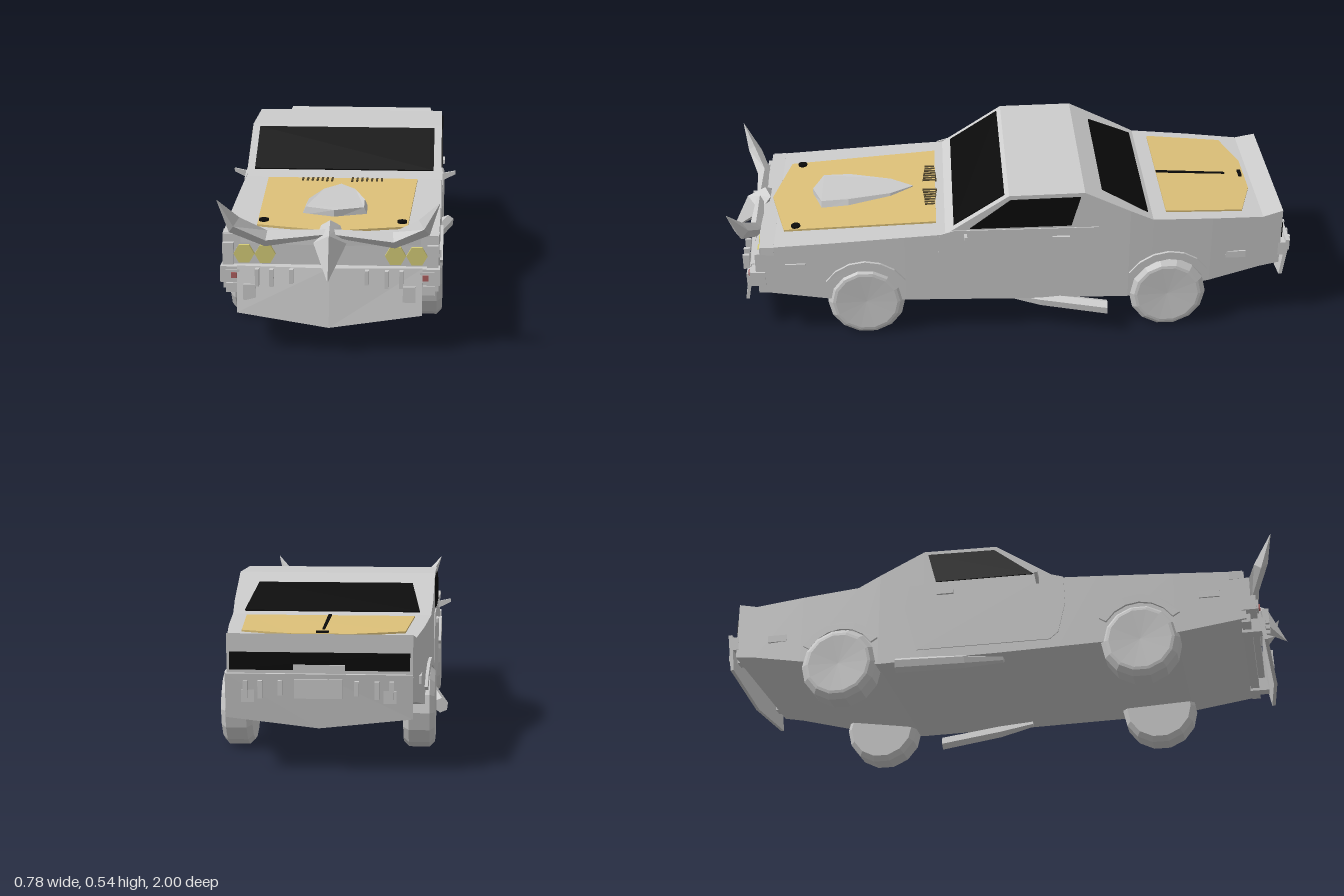
import * as THREE from 'three';
import { ConvexGeometry } from 'three/addons/geometries/ConvexGeometry.js';

const GREY = 0xcccccc, GOLD = 0xdcc078, BLACK = 0x0a0a0a, LAMP = 0xd6ce78, RED = 0xb06060;

// Body stations from nose to tail: z, underside y, top y, half width
const STATIONS = [
  [0.87, 0.185, 0.362, 0.34], [0.63, 0.15, 0.376, 0.343], [0.37, 0.138, 0.392, 0.343],
  [0.23, 0.135, 0.4, 0.342], [0.01, 0.13, 0.545, 0.341], [-0.25, 0.128, 0.55, 0.34],
  [-0.41, 0.125, 0.472, 0.338], [-0.49, 0.138, 0.433, 0.333], [-0.7, 0.17, 0.422, 0.317],
  [-0.88, 0.21, 0.412, 0.297], [-0.95, 0.22, 0.43, 0.289],
];
function station(z, k) {
  const n = STATIONS.length;
  let i = 0;
  while (i < n - 2 && z < STATIONS[i + 1][0]) i++;
  const a = STATIONS[i], b = STATIONS[i + 1];
  return THREE.MathUtils.lerp(a[k], b[k], (z - a[0]) / (b[0] - a[0]));
}
const topY = (z) => station(z, 2), halfW = (z) => station(z, 3);

export function createModel() {
  const car = new THREE.Group();
  car.name = 'car';

  const add = (name, geometry, color = GREY) => {
    const mesh = new THREE.Mesh(geometry, new THREE.MeshStandardMaterial({ color, flatShading: true }));
    mesh.name = name;
    car.add(mesh);
    return mesh;
  };
  const box = (name, w, h, d, x, y, z, color) => {
    const m = add(name, new THREE.BoxGeometry(w, h, d), color);
    m.position.set(x, y, z);
    return m;
  };

  // Makes a closed triangle soup face outward
  const outward = (geometry) => {
    const g = geometry.index ? geometry.toNonIndexed() : geometry;
    const p = g.attributes.position;
    const [a, b, c] = [0, 1, 2].map(() => new THREE.Vector3());
    const ref = new THREE.Vector3().fromBufferAttribute(p, 0);
    let volume = 0;
    for (let i = 0; i < p.count; i += 3) {
      [a, b, c].forEach((v, k) => v.fromBufferAttribute(p, i + k).sub(ref));
      volume += a.dot(b.cross(c));
    }
    if (volume < 0) for (let i = 0; i < p.count; i += 3) {
      b.fromBufferAttribute(p, i + 1);
      c.fromBufferAttribute(p, i + 2);
      p.setXYZ(i + 1, c.x, c.y, c.z);
      p.setXYZ(i + 2, b.x, b.y, b.z);
    }
    g.computeVertexNormals();
    return g;
  };

  // Solid through cross-sections (rings of equal length), capped at both ends
  const loft = (rings) => {
    const n = rings[0].length, index = [];
    for (let r = 0; r < rings.length - 1; r++) for (let i = 0; i < n; i++) {
      const a = r * n + i, b = r * n + (i + 1) % n;
      index.push(a, b, b + n, a, b + n, a + n);
    }
    const e = (rings.length - 1) * n;
    for (let i = 1; i < n - 1; i++) index.push(0, i + 1, i, e, e + i, e + i + 1);
    const g = new THREE.BufferGeometry();
    g.setAttribute('position', new THREE.Float32BufferAttribute(rings.flat(2), 3));
    g.setIndex(index);
    return outward(g);
  };

  // Thin plate: outline extruded by depth, then laid on a surface by the rule
  const plate = (name, pts, depth, rule, color) => {
    const shape = new THREE.Shape(pts.map(([a, b]) => new THREE.Vector2(a, b)));
    const g = new THREE.ExtrudeGeometry(shape, { depth, bevelEnabled: false });
    const p = g.attributes.position;
    for (let i = 0; i < p.count; i++) p.setXYZ(i, ...rule(p.getX(i), p.getY(i), p.getZ(i)));
    return add(name, outward(g), color);
  };
  const onTop = (lift = 0) => (x, z, d) => [x, topY(z) + d + lift, z];
  const onSide = (s) => (z, y, d) => [s * (halfW(z) + d - 0.002), y, z];
  const mirrored = (half) => [...half, ...half.filter(([x]) => x !== 0).reverse().map(([x, z]) => [-x, z])];

  // Body shell
  add('body', loft(STATIONS.map(([z, y0, y1, w]) => [[-w, y0, z], [w, y0, z], [w, y1, z], [-w, y1, z]])));

  // Windscreen and rear window
  plate('windscreen', [[-0.315, 0.2], [0.315, 0.2], [0.315, 0.025], [-0.315, 0.025]], 0.004, onTop(), BLACK);
  plate('rearWindow', [[-0.295, -0.475], [0.295, -0.475], [0.265, -0.315], [-0.265, -0.315]], 0.004, onTop(), BLACK);

  // Bonnet panel, scoop, vents and pins
  plate('bonnetPanel', mirrored([[0, 0.845], [0.24, 0.79], [0.26, 0.26]]), 0.007, onTop(), GOLD);
  plate('bonnetScoop', mirrored([[0, 0.7], [0.108, 0.665], [0.105, 0.57], [0.06, 0.42], [0, 0.34]]), 1,
    (x, z, d) => [x * (1 - 0.12 * d), topY(z) + d * (0.007 + 0.022 * Math.min(1, (z - 0.3) / 0.3)), z]);
  for (const s of [-1, 1]) {
    for (let i = 0; i < 7; i++)
      box('bonnetVent', 0.007, 0.006, 0.052 - i * 0.003, s * (0.035 + i * 0.017), topY(0.28) + 0.007, 0.28, 0x554a30);
    const pin = add('bonnetPin', new THREE.CylinderGeometry(0.016, 0.016, 0.008, 10), BLACK);
    pin.position.set(s * 0.222, topY(0.75) + 0.01, 0.75);
  }

  // Boot panel with centre strip and lock
  plate('bootPanel', mirrored([[0.1, -0.86], [0.26, -0.81], [0.28, -0.54]]), 0.006, onTop(), GOLD);
  plate('bootStrip', [[-0.006, -0.54], [0.006, -0.54], [0.004, -0.79], [-0.004, -0.79]], 0.004, onTop(0.006), BLACK);
  box('bootLock', 0.04, 0.008, 0.012, 0, topY(-0.845) + 0.008, -0.845, BLACK);

  // Parts on both flanks
  for (const s of [-1, 1]) {
    plate('door', [[0.25, 0.4], [0.255, 0.3], [0.23, 0.19], [0.2, 0.165], [-0.27, 0.165], [-0.3, 0.22],
      [-0.315, 0.33], [-0.3, 0.415], [0.2, 0.415]], 0.006, onSide(s));
    plate('sideWindow', [[0.145, 0.422], [0.005, 0.53], [-0.235, 0.535], [-0.205, 0.425]], 0.007, onSide(s), BLACK);
    box('doorHandle', 0.012, 0.014, 0.06, s * 0.347, 0.378, -0.17);
    box('frontMarker', 0.008, 0.025, 0.07, s * 0.344, 0.285, 0.75);
    box('rearMarker', 0.008, 0.025, 0.07, s * 0.308, 0.27, -0.79);

    // Wing mirror
    add('mirror', loft([[0.335, 0.39, 0.008], [0.35, 0.393, 0.012], [0.392, 0.408, 0.006]].map(([x, y, r]) =>
      [[s * x, y - r, 0.165], [s * x, y - r, 0.155], [s * x, y + r, 0.155], [s * x, y + r, 0.165]])));

    // Exhaust side pipe, splayed outward towards the back
    add('sidePipe', loft([[0.295, 0.125, 0.03, 0.012], [0.325, 0.115, -0.1, 0.024], [0.366, 0.1, -0.335, 0.026]]
      .map(([x, y, z, r]) => [0, 1, 2, 3, 4, 5].map((i) => {
        const t = i * Math.PI / 3 + 0.4;
        return [s * (x + r * Math.cos(t)), y + r * Math.sin(t), z];
      }))));

    for (const z of [0.51, -0.55]) {
      // Wheel with chamfered tyre edges
      const profile = [[0, -0.052], [0.118, -0.052], [0.135, -0.034], [0.135, 0.034], [0.118, 0.05], [0.108, 0.052], [0, 0.046]];
      const wheel = add('wheel', new THREE.LatheGeometry(profile.map(([r, y]) => new THREE.Vector2(r, y)), 14));
      wheel.rotation.z = -s * Math.PI / 2;
      wheel.position.set(s * 0.3, 0.137, z);

      // Arch flare
      const arc = (r) => Array.from({ length: 7 }, (_, i) => {
        const t = 0.55 + i * (Math.PI - 1.1) / 6;
        return [z + r * Math.cos(t), 0.14 + r * Math.sin(t)];
      });
      plate('archFlare', [...arc(0.162), ...arc(0.134).reverse()], 0.012, onSide(s));
    }

    // Head lamps and indicators
    for (const x of [0.205, 0.272]) {
      const lamp = add('headLamp', new THREE.CylinderGeometry(0.033, 0.033, 0.02, 6), LAMP);
      lamp.rotation.set(Math.PI / 2, Math.PI / 6, 0, 'XYZ');
      lamp.position.set(s * x, 0.301, 0.872);
    }
    box('indicatorHousing', 0.045, 0.035, 0.01, s * 0.305, 0.24, 0.907);
    box('indicator', 0.018, 0.018, 0.012, s * 0.3, 0.24, 0.911, RED);
    box('lampSurround', 0.035, 0.07, 0.035, s * 0.322, 0.302, 0.87);
    box('plowBracket', 0.04, 0.05, 0.08, s * 0.25, 0.19, 0.89);
    box('rearBracket', 0.04, 0.04, 0.05, s * 0.22, 0.24, -0.955);

    // Horn sweeping out and up to a point
    add('horn', loft([[0, 0.375, 0.89, 0.013], [0.2, 0.355, 0.89, 0.026], [0.295, 0.408, 0.93, 0.024], [0.342, 0.495, 0.97, 0.001]]
      .map(([x, y, z, r], k) => {
        const lean = k > 1 ? 0.7 : 0.15;
        return [[s * (x - r * lean), y + r, z], [s * x, y, z + r], [s * (x + r * lean), y - r, z], [s * x, y, z - r]];
      })));

    // Teeth hanging in front of both guards
    for (const x of [0.118, 0.18, 0.225]) {
      const h = x < 0.15 ? 0.045 : 0.055;
      box('frontTooth', 0.012, h, 0.022, s * x, 0.268 - h / 2, 0.932);
      box('rearTooth', 0.014, h, 0.018, s * x, 0.29 - h / 2, -0.989);
    }
  }

  // Front end
  plate('noseLip', mirrored([[0, 0.895], [0.34, 0.865], [0.343, 0.82]]), 0.03, (x, z, d) => [x, 0.335 + d, z]);
  box('frontBumper', 0.69, 0.052, 0.05, 0, 0.24, 0.88);
  box('frontValance', 0.66, 0.03, 0.03, 0, 0.19, 0.868);

  // Plow guard, bent along its middle
  add('plowGuard', loft([[-0.29, 0.125, 0.936], [0, 0.085, 0.952], [0.29, 0.125, 0.936]].map(([x, y, z]) =>
    [[x, y, z], [x, 0.27, z - 0.028], [x, 0.27, z - 0.04], [x, y, z - 0.012]])));

  // Beaked ornament between the horns
  add('beakOrnament', new ConvexGeometry([[0, 0.412, 0.87], [0.03, 0.39, 0.85], [-0.03, 0.39, 0.85], [0.052, 0.342, 0.89],
    [-0.052, 0.342, 0.89], [0, 0.378, 0.935], [0, 0.31, 0.87], [0, 0.245, 0.998]].map((p) => new THREE.Vector3(...p))));

  // Tail end: lamp strip, bumper guard and plate
  box('tailLampStrip', 0.56, 0.055, 0.012, 0, 0.345, -0.95, BLACK);
  box('tailStripTrim', 0.16, 0.02, 0.014, 0, 0.325, -0.953);
  box('rearBumper', 0.58, 0.05, 0.03, 0, 0.275, -0.958);
  add('rearGuard', loft([[-0.29, 0.17], [0, 0.138], [0.29, 0.17]].map(([x, y]) =>
    [[x, y, -0.966], [x, 0.31, -0.984], [x, 0.31, -0.97], [x, y, -0.954]])));
  box('numberPlate', 0.15, 0.06, 0.012, 0, 0.265, -0.985);

  return car;
}
